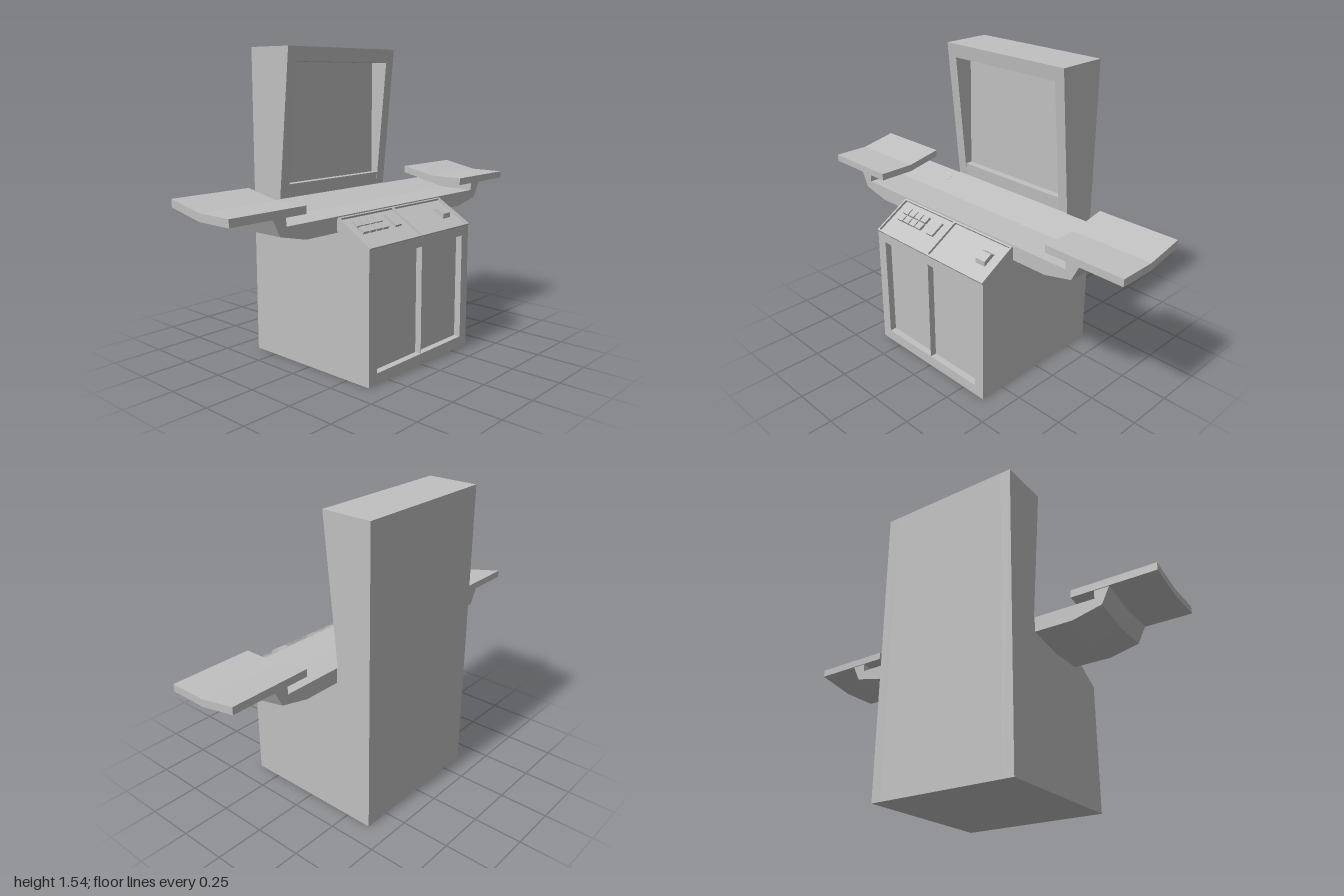
import * as THREE from 'three';

const grey = new THREE.MeshStandardMaterial({ color: 0xc0c0c0 });
grey.name = 'light grey';

const toShape = (pts) => new THREE.Shape(pts.map(([a, b]) => new THREE.Vector2(a, b)));

function addMesh(parent, name, geometry, x = 0, y = 0, z = 0) {
  const mesh = new THREE.Mesh(geometry, grey);
  mesh.name = name;
  mesh.position.set(x, y, z);
  parent.add(mesh);
  return mesh;
}

// Extrudes an (x, y) profile between two z values
function slab(pts, z0, z1) {
  return new THREE.ExtrudeGeometry(toShape(pts), { depth: z1 - z0, bevelEnabled: false }).translate(0, 0, z0);
}

// Sweeps a (z, y) section along x, rising toward the back half
function sweep(pts, half) {
  const g = new THREE.ExtrudeGeometry(toShape(pts), { depth: 2 * half, steps: 2, bevelEnabled: false });
  g.rotateY(-Math.PI / 2).translate(half, 0, 0);
  const p = g.attributes.position;
  for (let i = 0; i < p.count; i++) p.setY(i, p.getY(i) + Math.max(0, -p.getX(i)) * 0.197);
  g.computeVertexNormals();
  return g;
}

export function createModel() {
  const model = new THREE.Group();
  model.name = 'kiosk';

  // Cabinet: full-profile sides and a middle with recessed fronts
  const base = [[-0.385, 0], [0.385, 0]];
  const lowerRecess = [[0.385, 0.055], [0.35, 0.055], [0.35, 0.595], [0.385, 0.595]];
  const shelf = [[0.385, 0.641], [0.19, 0.756], [0.19, 0.77], [0, 0.77], [-0.195, 0.808]];
  const screenRecess = [[-0.191, 0.875], [-0.23, 0.875], [-0.23, 1.47], [-0.1275, 1.47]];
  const top = [[-0.12, 1.54], [-0.385, 1.54]];
  const sideProfile = [...base, ...shelf, ...top];
  addMesh(model, 'cabinetMiddle', slab([...base, ...lowerRecess, ...shelf, ...screenRecess, ...top], -0.33, 0.33));
  addMesh(model, 'cabinetLeftSide', slab(sideProfile, 0.33, 0.385));
  addMesh(model, 'cabinetRightSide', slab(sideProfile, -0.385, -0.33));
  addMesh(model, 'doorDivider', new THREE.BoxGeometry(0.034, 0.54, 0.004), 0.367, 0.325, 0);

  // Sloping console with a rim around two shallow panels
  const panel = new THREE.Group();
  panel.name = 'console';
  panel.position.set(0.2875, 0.6985, 0);
  panel.rotation.z = -Math.atan2(0.115, 0.195);
  model.add(panel);
  const rim = toShape([[-0.113, -0.385], [0.113, -0.385], [0.113, 0.385], [-0.113, 0.385]]);
  for (const s of [1, -1]) {
    rim.holes.push(new THREE.Path([[-0.105, 0.006], [0.105, 0.006], [0.105, 0.375], [-0.105, 0.375]]
      .map(([a, b]) => new THREE.Vector2(a, s * b))));
  }
  addMesh(panel, 'consoleRim',
    new THREE.ExtrudeGeometry(rim, { depth: 0.012, bevelEnabled: false }).rotateX(-Math.PI / 2));
  for (let row = 0; row < 4; row++) {
    for (let col = 0; col < 2; col++) {
      addMesh(panel, 'key', new THREE.BoxGeometry(0.038, 0.014, 0.04),
        -0.053 + col * 0.044, 0.007, 0.17 + row * 0.046);
    }
  }
  addMesh(panel, 'cardSlot', new THREE.BoxGeometry(0.085, 0.012, 0.045), -0.031, 0.006, 0.0775);
  addMesh(panel, 'reader', slab([[-0.045, 0], [0.03, 0], [0.018, 0.022], [-0.03, 0.022]], -0.03, 0.03),
    0, 0, -0.295);

  // Mirrored side arms with raised curved trays
  for (const s of [1, -1]) {
    const mirror = (pts) => pts.map(([z, y]) => [s * z, y]);
    const side = s > 0 ? 'left' : 'right';
    addMesh(model, side + 'Arm', sweep(mirror([[0.385, 0.695], [0.58, 0.695], [0.73, 0.73], [0.77, 0.81],
      [0.695, 0.81], [0.695, 0.77], [0.385, 0.77]]), 0.19));
    addMesh(model, side + 'Tray', sweep(mirror([[0.58, 0.81], [1, 0.81], [1, 0.847], [0.58, 0.847]]), 0.194));
  }
  return model;
}
